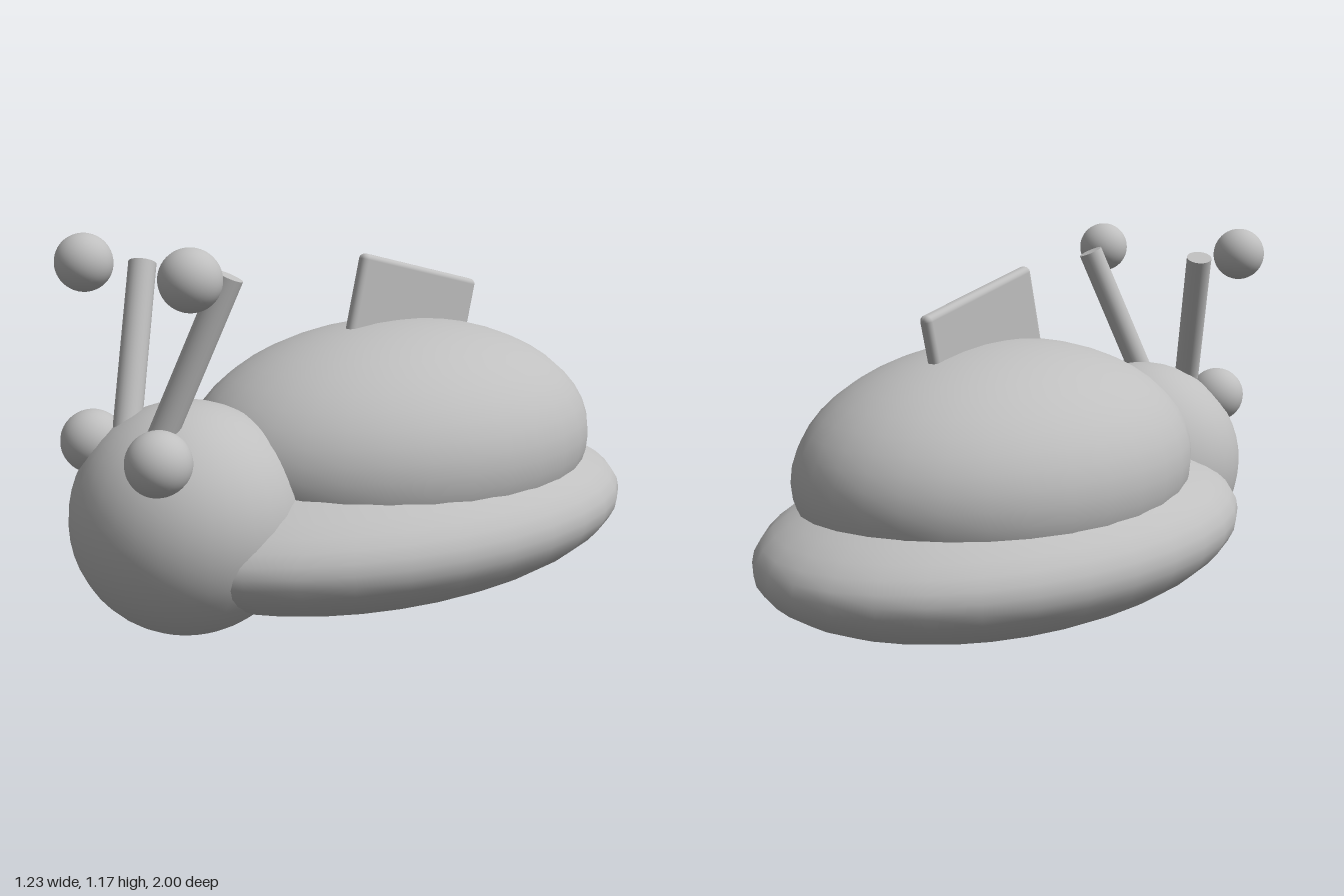
import * as THREE from 'three';
import { RoundedBoxGeometry } from 'three/addons/geometries/RoundedBoxGeometry.js';

export function createModel() {
  const model = new THREE.Group();
  model.name = 'snail';
  const grey = new THREE.MeshStandardMaterial({ color: 0xbfbfbf });
  grey.name = 'grey';

  function add(name, geometry, x, y, z) {
    const mesh = new THREE.Mesh(geometry, grey);
    mesh.name = name;
    mesh.position.set(x, y, z);
    model.add(mesh);
    return mesh;
  }
  const ellipsoid = (rx, ry, rz) => new THREE.SphereGeometry(1, 32, 24).scale(rx, ry, rz);

  // Body: wide flat foot, domed shell and round head
  add('foot', ellipsoid(0.614, 0.26, 0.93), 0, 0.263, -0.07);
  add('shell', ellipsoid(0.537, 0.383, 0.715), 0, 0.483, -0.13);
  add('head', ellipsoid(0.342, 0.342, 0.342), 0, 0.36, 0.656);

  // Tilted fin standing in the shell
  const fin = add('fin', new RoundedBoxGeometry(0.042, 0.3, 0.49, 3, 0.018), 0, 0.88, -0.2);
  fin.rotation.x = -0.245;

  // Mirrored eyes, stalks and the balls in front of the stalk tips
  const up = new THREE.Vector3(0, 1, 0);
  for (const [side, s] of [['left', 1], ['right', -1]]) {
    add(side + 'Eye', ellipsoid(0.093, 0.093, 0.093), s * 0.18, 0.583, 0.857);
    add(side + 'AntennaBall', ellipsoid(0.085, 0.085, 0.085), s * 0.283, 1.086, 0.808);

    const base = new THREE.Vector3(s * 0.068, 0.55, 0.82);
    const tip = new THREE.Vector3(s * 0.225, 1.08, 0.648);
    const axis = tip.clone().sub(base);
    const middle = base.clone().add(tip).multiplyScalar(0.5);
    const stalk = add(side + 'Stalk', new THREE.CylinderGeometry(0.041, 0.041, axis.length(), 24),
      middle.x, middle.y, middle.z);
    stalk.quaternion.setFromUnitVectors(up, axis.normalize());
  }
  return model;
}
